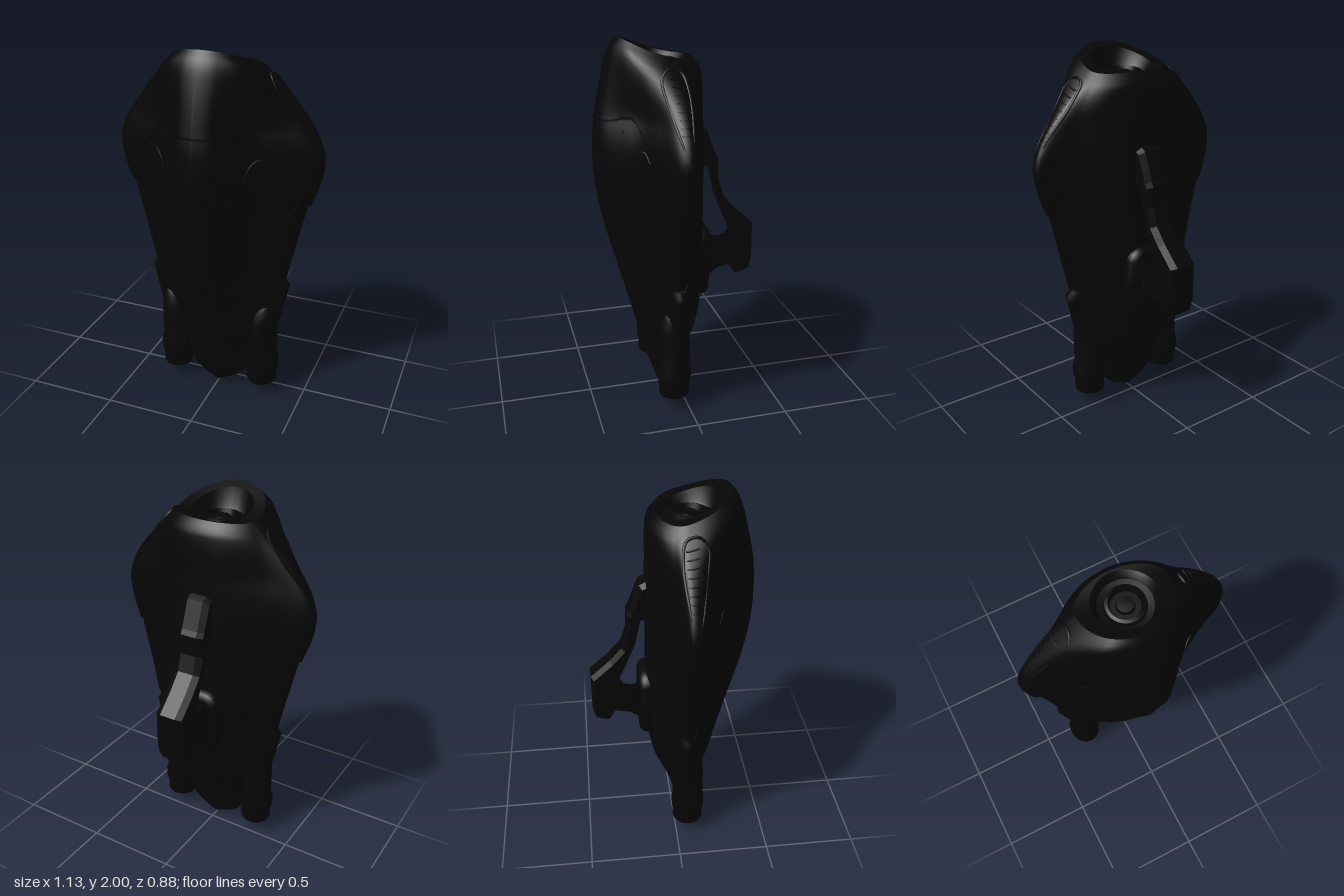
import * as THREE from 'three';
import { toCreasedNormals } from 'three/addons/utils/BufferGeometryUtils.js';

const V = (x, y, z) => new THREE.Vector3(x, y, z);
const ZC = 0.06;

// Smooth lookup in a table of [key, value] pairs
function lookup(table, k) {
  const n = table.length - 1;
  let i = 0;
  while (i < n - 1 && k > table[i + 1][0]) i++;
  const slope = (j) => {
    const a = table[Math.max(0, j - 1)], b = table[Math.min(n, j + 1)];
    return (b[1] - a[1]) / (b[0] - a[0]);
  };
  const [x0, y0] = table[i], [x1, y1] = table[i + 1], h = x1 - x0;
  const t = THREE.MathUtils.clamp((k - x0) / h, 0, 1), t2 = t * t, t3 = t2 * t;
  return (2 * t3 - 3 * t2 + 1) * y0 + (t3 - 2 * t2 + t) * h * slope(i)
    + (3 * t2 - 2 * t3) * y1 + (t3 - t2) * h * slope(i + 1);
}

// Half width (with the flank step at 0.71), front depth and back depth of the hull by height
const WIDTH = [[0, 0], [0.03, 0.063], [0.06, 0.122], [0.12, 0.168], [0.2, 0.19], [0.3, 0.235], [0.38, 0.3], [0.42, 0.335],
  [0.55, 0.372], [0.68, 0.4], [0.705, 0.406], [0.725, 0.383], [0.75, 0.387], [0.9, 0.42], [1.1, 0.467], [1.19, 0.49],
  [1.32, 0.535], [1.45, 0.552], [1.55, 0.52], [1.67, 0.44], [1.83, 0.3], [1.9, 0.23]];
const FRONT = [[0, 0.07], [0.015, 0.098], [0.07, 0.12], [0.2, 0.165], [0.4, 0.22], [0.6, 0.275], [0.8, 0.33], [1, 0.385],
  [1.2, 0.425], [1.4, 0.44], [1.6, 0.425], [1.8, 0.355], [1.9, 0.3]];
const BACK = [[0, 0.07], [0.015, 0.045], [0.07, 0.02], [0.2, -0.02], [0.4, -0.1], [0.55, -0.13], [0.9, -0.14],
  [1.2, -0.135], [1.6, -0.13], [1.84, -0.122], [1.9, -0.08]];
const TOP = [[-0.14, 1.9], [0, 1.895], [0.15, 1.935], [0.3, 2], [0.44, 2.06]];

// Half of the lens-shaped section, from front centre to back centre
const lens = new THREE.SplineCurve([[0, 0.44], [0.1, 0.408], [0.19, 0.322], [0.28, 0.24], [0.41, 0.175], [0.53, 0.117],
  [0.565, 0.06], [0.53, 0.018], [0.4, -0.028], [0.3, -0.07], [0.2, -0.107], [0.12, -0.13], [0, -0.135]]
  .map(([x, z]) => new THREE.Vector2(x, z)));

// Point on the hull: s is height, t runs -1..1 from back around the front (0), lift pushes it outward
function hull(s, t, lift = 0) {
  const a = Math.abs(t), p = lens.getPoint(a);
  const top = THREE.MathUtils.smoothstep(s, 1.6, 1.9);
  const round = Math.max(top, 0.6 * (1 - THREE.MathUtils.smoothstep(s, 0.1, 0.7)));
  const ux = THREE.MathUtils.lerp(p.x / 0.565, Math.sin(Math.PI * a), round);
  const uz = THREE.MathUtils.lerp(p.y > ZC ? (p.y - ZC) / 0.38 : (p.y - ZC) / 0.195, Math.cos(Math.PI * a), round);
  const zc = s < 0.1 ? THREE.MathUtils.lerp(0.07, ZC, s / 0.1) : ZC;
  let x = ux * lookup(WIDTH, s);
  let z = zc + (uz > 0 ? uz * (lookup(FRONT, s) - zc) : uz * (zc - lookup(BACK, s)));
  const d = Math.hypot(x, z - zc) || 1;
  x += x / d * lift;
  z += (z - zc) / d * lift;
  return V(Math.sign(t) * x, s + top * (lookup(TOP, z) - 1.9), z);
}

// Skin between rings of points, each ring counter-clockwise seen from above
function loft(rings, closed = true) {
  const n = rings[0].length, index = [];
  for (let r = 0; r < rings.length - 1; r++) {
    for (let i = 0; i < (closed ? n : n - 1); i++) {
      const j = (i + 1) % n, a = r * n + i, b = r * n + j, c = a + n, d = b + n;
      index.push(a, b, d, a, d, c);
    }
  }
  const g = new THREE.BufferGeometry().setFromPoints(rings.flat());
  g.setIndex(index);
  g.computeVertexNormals();
  return g;
}

export function createModel() {
  const model = new THREE.Group();
  const black = new THREE.MeshStandardMaterial({ color: 0x060606 });
  black.name = 'blackArmour';
  const shellBlack = black.clone();
  shellBlack.name = 'blackShell';
  shellBlack.side = THREE.DoubleSide;
  const add = (name, geometry, material = black) => {
    const m = new THREE.Mesh(geometry, material);
    m.name = name;
    model.add(m);
  };
  const N = 96;
  const around = (f) => Array.from({ length: N }, (_, i) => f(2 * i / N - 1));

  // Main hull, with closer rings near the tip
  const heights = [0, 0.006, 0.015, ...Array.from({ length: 76 }, (_, i) => (i + 1) * 0.025)];
  add('hull', loft(heights.map((s) => around((t) => hull(s, t)))));

  // Sloped top with a stepped round port
  const dish = [[0.16, 0], [0.14, 1.875], [0.13, 1.86], [0.1, 1.855], [0.095, 1.88], [0.08, 1.885], [0.07, 1.855],
    [0.045, 1.855], [0.04, 1.875], [0.0005, 1.878]];
  const port = dish.map(([r, y]) => around((t) => {
    const z = 0.09 + r * Math.cos(Math.PI * t);
    return V(r * Math.sin(Math.PI * t), y || lookup(TOP, z), z);
  }));
  add('topPort', toCreasedNormals(loft([around((t) => hull(1.9, t)), ...port]), 0.6));

  // Raised upper shell with a stepped lower edge
  const EDGE = [[0, 1.595], [0.12, 1.595], [0.18, 1.615], [0.23, 1.605], [0.28, 1.5], [0.36, 1.39], [0.45, 1.25],
    [0.5, 1.19], [0.56, 1.22], [0.64, 1.32]];
  const shell = [];
  for (let k = -1; k <= 20; k++) {
    shell.push(Array.from({ length: 121 }, (_, i) => {
      const t = 0.64 * (i / 60 - 1), a = Math.abs(t), v = Math.max(0, k) / 20;
      const fade = (1 - THREE.MathUtils.smoothstep(a, 0.54, 0.64)) * (1 - THREE.MathUtils.smoothstep(v, 0.8, 1));
      const lift = THREE.MathUtils.lerp(0.005, 0.013, THREE.MathUtils.smoothstep(a, 0.1, 0.25)) * fade;
      return hull(THREE.MathUtils.lerp(lookup(EDGE, a), 1.9, v), t, k < 0 ? -0.008 : lift);
    }));
  }
  add('upperShell', loft(shell, false), shellBlack);

  // Raised seam lines laid on the hull
  const seam = (name, pts, closed = false, r = 0.006) =>
    add(name, new THREE.TubeGeometry(new THREE.CatmullRomCurve3(pts, closed), 64, r, 6, closed));
  const onFront = (x, y) => {
    let lo = 0, hi = 0.5;
    for (let i = 0; i < 24; i++) {
      const mid = (lo + hi) / 2;
      if (hull(y, mid).x < Math.abs(x)) lo = mid; else hi = mid;
    }
    return hull(y, lo * Math.sign(x));
  };

  for (const side of [1, -1]) {
    // Keel border and flank panels
    seam('keelSeam', [[0.18, 1.56], [0.16, 1.25], [0.135, 0.95], [0.115, 0.6], [0.12, 0.35], [0.1, 0.16], [0.004, 0.075]]
      .map(([x, y]) => onFront(side * x, y)), false, 0.004);
    seam('flankSeam', [[0.33, 1.42], [0.29, 1.47], [0.24, 1.44], [0.21, 1.3], [0.19, 1], [0.17, 0.6], [0.165, 0.3]]
      .map(([x, y]) => onFront(side * x, y)), false, 0.004);
    seam('sidePanelRim', [[1.22, 0.4], [1.1, 0.37], [0.9, 0.38], [0.77, 0.42], [0.73, 0.5], [0.77, 0.56], [0.95, 0.58], [1.2, 0.57]]
      .map(([s, t]) => hull(s, side * t)), false, 0.004);

    // Teardrop shoulder vent with louvres
    seam('ventRim', [[1.46, 0.5], [1.55, 0.45], [1.68, 0.41], [1.8, 0.4], [1.85, 0.45], [1.85, 0.53], [1.76, 0.57], [1.58, 0.54]]
      .map(([s, t]) => hull(s, side * t, 0.007)), true, 0.008);
    for (let i = 0; i < 8; i++) {
      const s = 1.59 + i * 0.032;
      seam('ventLouvre', [0.45, 0.48, 0.51, 0.54].map((t) => hull(s, side * t, 0.009)), false, 0.005);
    }

    // Domed lower thruster: y, centre x, radius
    const pod = [[0.095, 0.26, 0.001], [0.095, 0.26, 0.06], [0.075, 0.26, 0.066], [0.075, 0.26, 0.08],
      [0.085, 0.26, 0.085], [0.14, 0.26, 0.085], [0.17, 0.265, 0.091], [0.22, 0.266, 0.092],
      [0.26, 0.26, 0.086], [0.42, 0.26, 0.086], [0.48, 0.263, 0.081], [0.54, 0.268, 0.068],
      [0.58, 0.272, 0.05], [0.605, 0.275, 0.028], [0.613, 0.276, 0.001]];
    add('thruster', toCreasedNormals(loft(pod.map(([y, x, r]) => Array.from({ length: 28 }, (_, i) => {
      const a = i / 28 * Math.PI * 2;
      return V(side * x + r * Math.sin(a), y, 0.07 + r * Math.cos(a));
    }))), 0.7));
  }

  // Rear grip: side outline with a finger opening, extruded across x
  const path = (pts) => pts.map(([z, y]) => new THREE.Vector2(-z, y));
  const grip = new THREE.Shape(path([[-0.1, 1.49], [-0.13, 1.5], [-0.152, 1.49], [-0.205, 1.35], [-0.218, 1.325], [-0.22, 1.22],
    [-0.25, 1.12], [-0.32, 1.04], [-0.423, 0.945], [-0.423, 0.75], [-0.41, 0.695], [-0.355, 0.68], [-0.32, 0.738],
    [-0.23, 0.72], [-0.18, 0.68], [-0.1, 0.66]]));
  grip.holes.push(new THREE.Path(path([[-0.12, 1.33], [-0.165, 1.31], [-0.195, 1.17], [-0.265, 1], [-0.285, 0.955],
    [-0.265, 0.92], [-0.22, 0.91], [-0.18, 0.925], [-0.12, 0.98]])));
  const gripGeo = new THREE.ExtrudeGeometry(grip, {
    depth: 0.09, bevelEnabled: true, bevelThickness: 0.033, bevelSize: 0.018, bevelSegments: 1 });
  gripGeo.translate(0, 0, -0.045).rotateY(Math.PI / 2);
  add('rearGrip', gripGeo);

  // Rounded mounting pad behind the grip
  const pad = new THREE.Shape();
  pad.moveTo(-0.06, 0.62);
  pad.quadraticCurveTo(-0.06, 0.6, -0.03, 0.6);
  pad.lineTo(0.03, 0.6);
  pad.quadraticCurveTo(0.06, 0.6, 0.06, 0.62);
  pad.lineTo(0.095, 0.76);
  pad.lineTo(0.09, 0.9);
  pad.quadraticCurveTo(0.08, 0.93, 0.04, 0.93);
  pad.lineTo(-0.04, 0.93);
  pad.quadraticCurveTo(-0.08, 0.93, -0.09, 0.9);
  pad.lineTo(-0.095, 0.76);
  pad.closePath();
  const padGeo = new THREE.ExtrudeGeometry(pad, {
    depth: 0.03, bevelEnabled: true, bevelThickness: 0.045, bevelSize: 0.045, bevelSegments: 4 });
  padGeo.translate(0, 0, -0.137);
  add('mountingPad', toCreasedNormals(padGeo, 0.6));

  return model;
}
